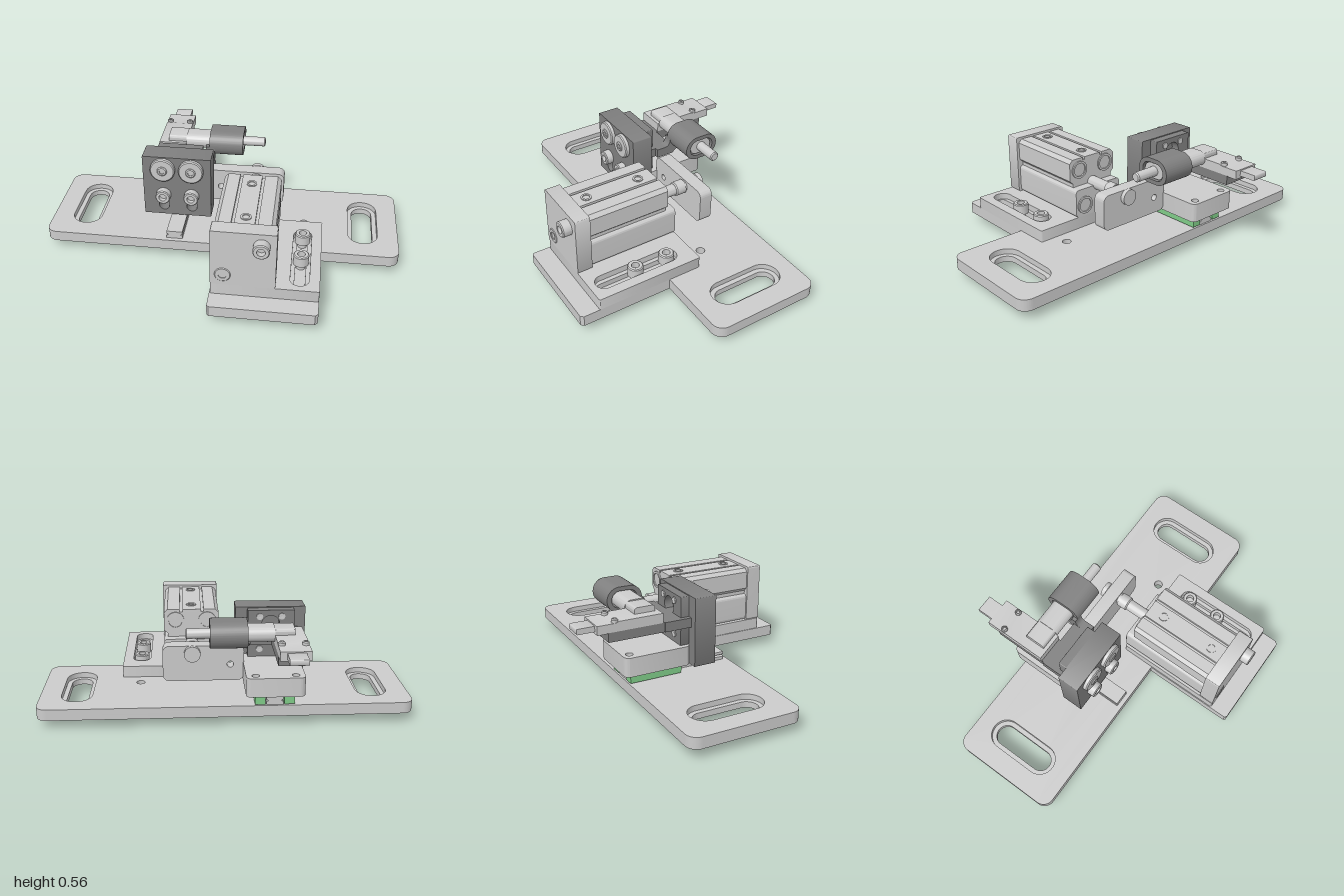
import * as THREE from 'three';
import { toCreasedNormals } from 'three/addons/utils/BufferGeometryUtils.js';

const grey = new THREE.MeshStandardMaterial({ color: 0xcccccc });
const dark = new THREE.MeshStandardMaterial({ color: 0x808080 });
const green = new THREE.MeshStandardMaterial({ color: 0x80cc88 });

// Rounded rectangle from corner (a0, b0) to (a1, b1); also used for slots
function rect(a0, b0, a1, b1, r = 0.01, holes = []) {
  const s = new THREE.Shape();
  s.moveTo(a0 + r, b0).lineTo(a1 - r, b0).absarc(a1 - r, b0 + r, r, -Math.PI / 2, 0);
  s.lineTo(a1, b1 - r).absarc(a1 - r, b1 - r, r, 0, Math.PI / 2);
  s.lineTo(a0 + r, b1).absarc(a0 + r, b1 - r, r, Math.PI / 2, Math.PI);
  s.lineTo(a0, b0 + r).absarc(a0 + r, b0 + r, r, Math.PI, Math.PI * 1.5);
  s.holes.push(...holes);
  return s;
}
const slot = (a, b0, b1, r) => rect(a - r, b0, a + r, b1, r * 0.999);
const disc = (a, b, r) => new THREE.Shape().absarc(a, b, r, 0, Math.PI * 2);
const poly = pts => new THREE.Shape(pts.map(p => new THREE.Vector2(...p)));

export function createModel() {
  const model = new THREE.Group();

  function add(name, geometry, material = grey) {
    const mesh = new THREE.Mesh(toCreasedNormals(geometry, 0.6), material);
    mesh.name = name;
    model.add(mesh);
    return mesh;
  }

  // Extrude a shape along an axis from lo to hi.
  // Shape axes: 'y' uses (x, -z), 'z' uses (x, y), 'x' uses (-z, y).
  function slab(name, shape, axis, lo, hi, material) {
    const g = new THREE.ExtrudeGeometry(shape, { depth: hi - lo, bevelEnabled: false, curveSegments: 10 });
    g.translate(0, 0, lo);
    if (axis === 'y') g.rotateX(-Math.PI / 2);
    if (axis === 'x') g.rotateY(Math.PI / 2);
    return add(name, g, material);
  }

  function box(name, x0, x1, y0, y1, z0, z1, material) {
    const g = new THREE.BoxGeometry(x1 - x0, y1 - y0, z1 - z0);
    g.translate((x0 + x1) / 2, (y0 + y1) / 2, (z0 + z1) / 2);
    return add(name, g, material);
  }

  // Turned part along an axis; profile holds [radius, distance] pairs
  function turned(name, profile, axis, x, y, z, material) {
    const g = new THREE.LatheGeometry(profile.map(p => new THREE.Vector2(...p)), 28);
    if (axis === 'z') g.rotateX(Math.PI / 2);
    if (axis === 'x') g.rotateZ(-Math.PI / 2);
    g.translate(x, y, z);
    return add(name, g, material);
  }
  const rod = (name, r, length, ...rest) =>
    turned(name, [[0, 0], [r, 0], [r, length - 0.006], [r - 0.006, length], [0, length]], ...rest);

  // Socket-head screw whose head sits on the given point
  const screw = (name, axis, x, y, z, r, h, shank) => turned(name, [
    [0, -shank], [r * 0.58, -shank], [r * 0.58, 0], [r, 0], [r, h - 0.005], [r - 0.005, h],
    [r * 0.5, h], [r * 0.5, h * 0.4], [0, h * 0.4]], axis, x, y, z);

  // Base plate with a front tab, in two layers so the end slots are stepped
  for (const [lo, hi, r, z0, z1] of [[0.053, 0.085, 0.058, -0.305, 0.055], [0.085, 0.115, 0.084, -0.33, 0.08]]) {
    const s = new THREE.Shape();
    s.moveTo(-0.94, -0.19).lineTo(0.005, -0.19).lineTo(0.005, -0.7).lineTo(0.015, -0.71);
    s.lineTo(0.555, -0.71).lineTo(0.57, -0.695).lineTo(0.57, -0.19).lineTo(0.94, -0.19);
    s.absarc(0.94, -0.13, 0.06, -Math.PI / 2, 0).lineTo(1, 0.37);
    s.absarc(0.94, 0.37, 0.06, 0, Math.PI / 2).lineTo(-0.94, 0.43);
    s.absarc(-0.94, 0.37, 0.06, Math.PI / 2, Math.PI).lineTo(-1, -0.13);
    s.absarc(-0.94, -0.13, 0.06, Math.PI, Math.PI * 1.5);
    for (const x of [-0.802, 0.802]) s.holes.push(slot(x, -z1, -z0, r));
    for (const z of [-0.08, 0.53]) s.holes.push(disc(0.465, -z, 0.024));
    for (const z of [-0.33, -0.12, 0.09]) s.holes.push(disc(-0.255, -z, 0.012));
    slab('basePlate', s, 'y', lo, hi);
  }

  // Slotted mounting foot of the actuator and its two bolts
  slab('actuatorFoot', rect(0.01, -0.605, 0.57, 0, 0.01, [slot(0.465, -0.56, -0.095, 0.028)]), 'y', 0.115, 0.145);
  slab('actuatorFoot', rect(0.01, -0.605, 0.57, 0, 0.01, [slot(0.465, -0.568, -0.087, 0.05)]), 'y', 0.145, 0.18);
  for (const z of [0.145, 0.335]) screw('footBolt', 'y', 0.465, 0.146, z, 0.042, 0.059, 0.146);

  // Actuator front end plate with adjusters
  slab('endPlate', rect(0.01, 0.18, 0.345, 0.512, 0.01), 'z', 0.52, 0.605);
  screw('adjusterScrew', 'z', 0.27, 0.44, 0.605, 0.043, 0.05, 0.02);
  screw('adjusterScrew', 'z', 0.075, 0.245, 0.585, 0.043, 0.024, 0.02);

  // Actuator body: grooved upper section, narrow waist and longer lower section
  slab('actuatorBody', poly([
    [0.04, 0.36], [0.31, 0.36], [0.33, 0.38], [0.33, 0.48], [0.31, 0.5], [0.24, 0.5], [0.24, 0.485], [0.225, 0.485],
    [0.225, 0.5], [0.12, 0.5], [0.12, 0.485], [0.105, 0.485], [0.105, 0.5], [0.04, 0.5], [0.02, 0.48], [0.02, 0.38]
  ]), 'z', 0.05, 0.52);
  box('bodyWaist', 0.04, 0.31, 0.32, 0.365, 0.05, 0.52);
  slab('lowerBody', rect(0.02, 0.18, 0.33, 0.34, 0.02), 'z', 0, 0.52);
  for (const z of [0.14, 0.45]) {
    turned('bodyScrew', [[0.028, 0], [0.028, 0.006], [0.018, 0.006], [0.018, 0.001], [0, 0.001]], 'y', 0.175, 0.499, z);
  }
  for (const [x, y, z] of [[0.265, 0.435, 0.05], [0.085, 0.435, 0.05], [0.075, 0.245, 0], [0.27, 0.245, 0]]) {
    const cap = turned('boreCap', [[0.05, 0], [0.05, 0.008], [0.038, 0.008], [0.038, 0.001], [0, 0.001]], 'z', 0, 0, 0);
    cap.position.set(x, y, z);
    cap.rotation.y = Math.PI;
  }

  // Piston rod, coupling and the cross bar it drives
  rod('pistonRod', 0.033, 0.32, 'z', 0.175, 0.343, -0.24);
  rod('rodCollar', 0.04, 0.06, 'z', 0.175, 0.343, -0.15);
  rod('rodNut', 0.044, 0.03, 'z', 0.175, 0.343, -0.262);
  slab('crossBar', rect(-0.105, 0.183, 0.335, 0.383, 0.035, [disc(-0.03, 0.275, 0.018)]), 'z', -0.235, -0.16);

  // Linear guide: rail, green carriage and saddle plate
  slab('rail', poly([
    [-0.3, 0.115], [-0.21, 0.115], [-0.21, 0.132], [-0.222, 0.138], [-0.21, 0.145], [-0.21, 0.16],
    [-0.3, 0.16], [-0.3, 0.145], [-0.288, 0.138], [-0.3, 0.132]
  ]), 'z', -0.42, 0.165);
  slab('carriage', poly([
    [-0.36, 0.12], [-0.305, 0.12], [-0.305, 0.163], [-0.205, 0.163], [-0.205, 0.12], [-0.15, 0.12], [-0.15, 0.181], [-0.36, 0.181]
  ]), 'z', -0.425, -0.13, green);
  slab('saddlePlate', rect(-0.41, 0.1, -0.1, 0.472, 0.03,
    [disc(-0.36, 0.43, 0.02), disc(-0.15, 0.43, 0.02)]), 'y', 0.18, 0.285);

  // Upright plate with adjusting slots, washers and screws
  slab('uprightPlate', rect(-0.45, 0.18, -0.065, 0.555, 0.004,
    [-0.335, -0.175].map(x => slot(x, 0.21, 0.345, 0.03))), 'z', -0.1, 0.022, dark);
  slab('backingPlate', rect(-0.385, 0.285, -0.13, 0.55, 0.004, [disc(-0.255, 0.47, 0.05)]), 'z', -0.148, -0.1, dark);
  for (const x of [-0.335, -0.175]) {
    rod('washer', 0.07, 0.024, 'z', x, 0.48, 0.022);
    screw('washerScrew', 'z', x, 0.48, 0.046, 0.028, 0.008, 0.02);
    screw('slotScrew', 'z', x, 0.315, 0.022, 0.042, 0.042, 0.12);
    for (const y of [0.33, 0.515]) {
      const dimple = turned('backScrew', [[0.018, 0], [0.018, 0.006], [0.008, 0.006], [0, 0.002]], 'z', 0, 0, 0);
      dimple.position.set(x - 0.02 * Math.sign(x + 0.255), y, -0.148);
      dimple.rotation.y = Math.PI;
    }
  }

  // Arm reaching backwards, with the stepped finger on top
  box('armFlange', -0.41, -0.1, 0.388, 0.44, -0.25, -0.1, dark);
  box('arm', -0.405, -0.25, 0.388, 0.44, -0.56, -0.25, dark);
  slab('fingerBody', poly([
    [0.26, 0.44], [0.56, 0.44], [0.575, 0.437], [0.62, 0.437], [0.62, 0.485], [0.52, 0.485], [0.5, 0.492], [0.26, 0.492]
  ]), 'x', -0.408, -0.25);
  slab('fingerTip', rect(0.61, 0.448, 0.715, 0.478, 0.005), 'x', -0.38, -0.285);
  for (const x of [-0.39, -0.27]) screw('fingerScrew', 'y', x, 0.485, -0.52, 0.017, 0.02, 0.01);

  // Oval clamp ring with a curved foot blending into the flange
  slab('clampRing', rect(0.235, 0.42, 0.437, 0.56, 0.0699,
    [rect(0.262, 0.443, 0.41, 0.537, 0.0465)]), 'x', -0.11, 0.085, dark);
  const foot = new THREE.Shape();
  foot.moveTo(0.15, 0.388).lineTo(0.255, 0.388).quadraticCurveTo(0.275, 0.42, 0.32, 0.42);
  foot.lineTo(0.32, 0.443).quadraticCurveTo(0.262, 0.443, 0.262, 0.49);
  foot.lineTo(0.236, 0.49).quadraticCurveTo(0.236, 0.44, 0.2, 0.44).lineTo(0.15, 0.44);
  slab('clampFoot', foot, 'x', -0.13, -0.08, dark);

  // Oval sensor held in the ring, with stepped tail and cable
  slab('sensorBody', rect(0.27, 0.449, 0.402, 0.531, 0.04), 'x', -0.25, 0.075);
  slab('sensorTail', rect(0.28, 0.455, 0.395, 0.525, 0.015), 'x', -0.355, -0.25);
  rod('cable', 0.027, 0.14, 'x', 0.07, 0.49, -0.338);

  return model;
}
